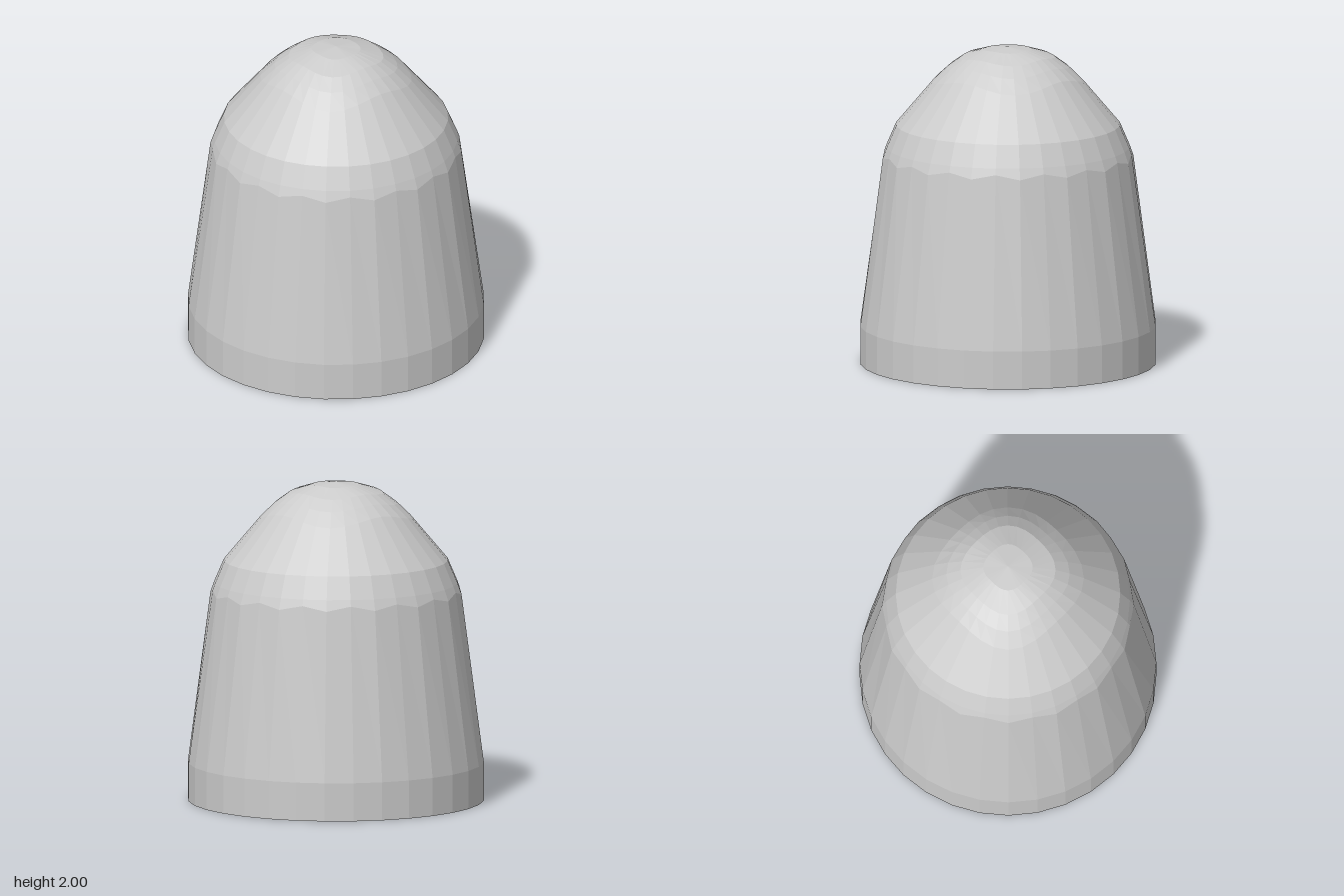
import * as THREE from 'three';

const SIDES = 32;

// Outline from the centre of the underside up to the crown: [radius, height]
const PROFILE = [
  [0, 0], [0.925, 0], [0.925, 0.24], [0.785, 1.3], [0.76, 1.37], [0.7, 1.51],
  [0.565, 1.67], [0.43, 1.83], [0.35, 1.895], [0.27, 1.95], [0.14, 1.988], [0, 2],
];
const SHOULDER = 3; // ring where the wall meets the dome
const CROWN = 7;    // first ring of the slightly squared crown

// Height of the outline at a given radius on the dome
function domeHeight(r) {
  for (let i = SHOULDER; i < PROFILE.length - 1; i++) {
    const [r0, y0] = PROFILE[i], [r1, y1] = PROFILE[i + 1];
    if (r <= r0 && r >= r1) return y0 + (y1 - y0) * (r0 - r) / (r0 - r1);
  }
  return 2;
}

export function createModel() {
  const group = new THREE.Group();
  group.name = 'domedCap';

  const points = PROFILE.map(([r, y]) => new THREE.Vector2(r, y));
  const geometry = new THREE.LatheGeometry(points, SIDES);
  const pos = geometry.attributes.position;
  const rings = PROFILE.length;

  for (let s = 0; s <= SIDES; s++) {
    const angle = (s / SIDES) * Math.PI * 2;
    const place = (ring, r, y) =>
      pos.setXYZ(s * rings + ring, r * Math.sin(angle), y, r * Math.cos(angle));

    // Scalloped shoulder: every other corner sits a little higher
    if (s % 2 === 1) place(SHOULDER, 0.774, domeHeight(0.774));

    // Squared crown rings, with their corners kept on the dome
    for (let ring = CROWN; ring < rings - 1; ring++) {
      const r = PROFILE[ring][0] * (1 + 0.1 * Math.sin(2 * angle) ** 2);
      place(ring, r, domeHeight(r));
    }
  }
  geometry.computeVertexNormals();

  const material = new THREE.MeshStandardMaterial({ color: 0xcccccc, flatShading: true });
  const body = new THREE.Mesh(geometry, material);
  body.name = 'domedBody';
  group.add(body);
  return group;
}
